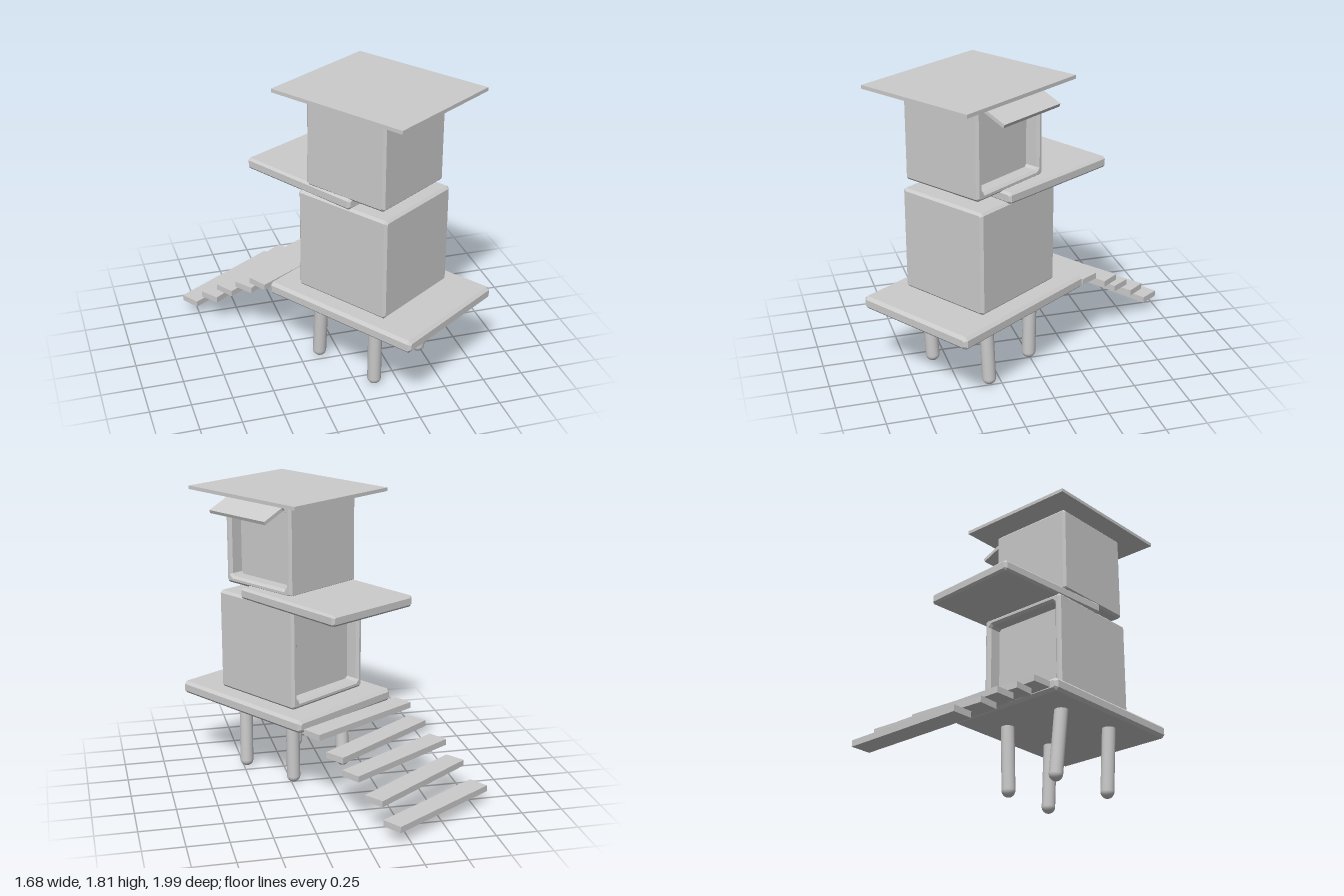
import * as THREE from 'three';

const material = new THREE.MeshStandardMaterial({ color: 0xcccccc });
const YAW = 0.585;

// Rectangle path with cut corners
function outline(path, w, h, c) {
  const x = w / 2, y = h / 2;
  const pts = [[x - c, -y], [x, -y + c], [x, y - c], [x - c, y], [-x + c, y], [-x, y - c], [-x, -y + c], [-x + c, -y]];
  return path.setFromPoints(pts.map(p => new THREE.Vector2(...p)));
}

// Box with chamfered edges, optionally pierced along z leaving a rim
function chamferBox(w, h, d, c, rim = 0) {
  const shape = outline(new THREE.Shape(), w, h, c);
  if (rim) shape.holes.push(outline(new THREE.Path(), w - 2 * rim, h - 2 * rim, c));
  const geo = new THREE.ExtrudeGeometry(shape, {
    depth: d - 2 * c, bevelEnabled: true, bevelThickness: c, bevelSize: c, bevelOffset: -c, bevelSegments: 1,
  });
  return geo.translate(0, 0, -(d - 2 * c) / 2);
}

function add(parent, name, geometry, x, y, z, yaw = 0, roll = 0) {
  const mesh = new THREE.Mesh(geometry, material);
  mesh.name = name;
  mesh.position.set(x, y, z);
  mesh.rotation.set(0, yaw, roll, 'YXZ');
  parent.add(mesh);
  return mesh;
}

// Room block with a shallow framed opening on its local +z side
function room(name, w, h, d, x, y, z, yaw) {
  const group = new THREE.Group();
  group.name = name;
  const recess = 0.09, frame = 0.2;
  add(group, name + 'Body', chamferBox(w, h, d - recess, 0.015), 0, 0, -recess / 2);
  add(group, name + 'OpeningFrame', chamferBox(w, h, frame, 0.015, 0.045), 0, 0, d / 2 - frame / 2);
  group.position.set(x, y, z);
  group.rotation.y = yaw;
  return group;
}

export function createModel() {
  const model = new THREE.Group();
  model.name = 'stiltHouse';

  // Platform, two stacked rooms, balcony slab and roof
  add(model, 'platform', chamferBox(0.82, 0.08, 1.065, 0.018), 0.215, 0.488, 0.335, YAW);
  model.add(room('lowerRoom', 0.617, 0.635, 0.65, 0.185, 0.847, 0.295, YAW + Math.PI));
  model.add(room('upperRoom', 0.568, 0.567, 0.568, 0.178, 1.497, 0.322, YAW + Math.PI / 2));
  add(model, 'balcony', chamferBox(0.65, 0.07, 0.835, 0.014), 0.028, 1.191, 0.002, 0.525);
  add(model, 'roof', new THREE.BoxGeometry(0.797, 0.022, 0.922), 0.19, 1.797, 0.343, YAW);

  // Tilted awning over the side opening
  add(model, 'awning', new THREE.BoxGeometry(0.155, 0.022, 0.48), 0.488, 1.718, 0.12, YAW, -0.4);

  // Slightly leaning legs: foot x, foot z, top x, top z
  const radius = 0.042;
  const legs = [[0.105, 0.585, 0.1, 0.605], [0.48, 0.325, 0.475, 0.34], [-0.125, 0.195, -0.12, 0.235], [0.235, 0.005, 0.24, 0]];
  for (const [fx, fz, tx, tz] of legs) {
    const foot = new THREE.Vector3(fx, radius, fz), top = new THREE.Vector3(tx, 0.455, tz);
    const axis = top.clone().sub(foot);
    const leg = add(model, 'leg', new THREE.CapsuleGeometry(radius, axis.length(), 8, 24), 0, 0, 0);
    leg.position.copy(foot).add(top).multiplyScalar(0.5);
    leg.quaternion.setFromUnitVectors(new THREE.Vector3(0, 1, 0), axis.normalize());
  }

  // Uneven floating steps: x, y, z, yaw
  const steps = [
    [-0.135, 0.465, -0.19, 0.55], [-0.215, 0.383, -0.338, 0.635], [-0.298, 0.302, -0.453, 0.58],
    [-0.388, 0.202, -0.583, 0.635], [-0.475, 0.095, -0.728, 0.58],
  ];
  for (const [x, y, z, yaw] of steps) add(model, 'step', new THREE.BoxGeometry(0.79, 0.038, 0.13), x, y, z, yaw);

  return model;
}
